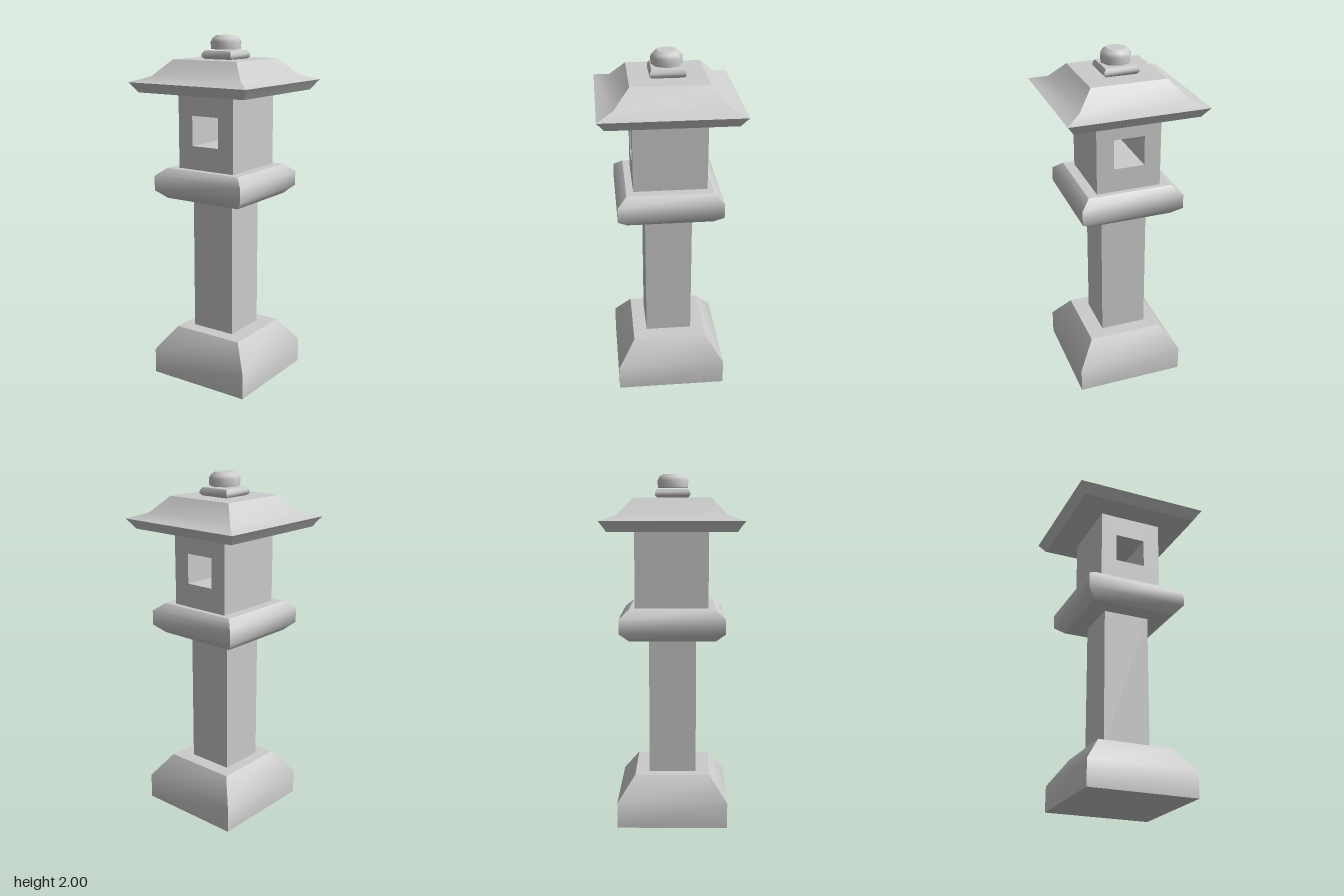
import * as THREE from 'three';

const stone = new THREE.MeshStandardMaterial({ color: 0xcccccc });
stone.name = 'grey stone';

// Square solid from [half width, y] rings, bottom to top. Each side is shaded
// smoothly up its profile; corners, caps and repeated rings stay sharp.
function squareLoft(rings) {
  const pos = [], idx = [];
  const signs = [[-1, 1], [1, 1], [1, -1], [-1, -1]];
  const corner = (k, [r, y]) => pos.push(signs[k % 4][0] * r, y, signs[k % 4][1] * r);
  for (let k = 0; k < 4; k++) {
    rings.forEach((ring, i) => {
      const a = pos.length / 3;
      corner(k, ring);
      corner(k + 1, ring);
      const next = rings[i + 1];
      if (next && (next[0] !== ring[0] || next[1] !== ring[1])) {
        idx.push(a, a + 1, a + 3, a, a + 3, a + 2);
      }
    });
  }
  const bottom = pos.length / 3;
  for (let k = 0; k < 4; k++) corner(k, rings[0]);
  idx.push(bottom, bottom + 2, bottom + 1, bottom, bottom + 3, bottom + 2);
  const top = pos.length / 3;
  for (let k = 0; k < 4; k++) corner(k, rings[rings.length - 1]);
  idx.push(top, top + 1, top + 2, top, top + 2, top + 3);
  const g = new THREE.BufferGeometry();
  g.setAttribute('position', new THREE.Float32BufferAttribute(pos, 3));
  g.setIndex(idx);
  g.computeVertexNormals();
  return g;
}

export function createModel() {
  const lantern = new THREE.Group();
  lantern.name = 'stoneLantern';
  const add = (name, geometry) => {
    const mesh = new THREE.Mesh(geometry, stone);
    mesh.name = name;
    lantern.add(mesh);
    return mesh;
  };

  // Footing, slightly off centre
  add('base', squareLoft([[0.315, 0], [0.315, 0.147], [0.216, 0.285]])).position.x = 0.015;

  // Square pillar
  add('post', new THREE.BoxGeometry(0.27, 0.81, 0.27)).position.y = 0.68;

  // Chamfered slab under the light chamber
  add('platform', squareLoft([[0.242, 1.08], [0.295, 1.128], [0.295, 1.212], [0.242, 1.257]]));

  // Light chamber with a window running from front to back
  const wall = new THREE.Shape();
  wall.moveTo(-0.185, 1.25).lineTo(0.185, 1.25).lineTo(0.185, 1.695).lineTo(-0.185, 1.695).closePath();
  const opening = new THREE.Path();
  opening.moveTo(-0.09, 1.392).lineTo(-0.09, 1.563).lineTo(0.086, 1.563).lineTo(0.086, 1.392).closePath();
  wall.holes.push(opening);
  add('lightChamber', new THREE.ExtrudeGeometry(wall, { depth: 0.414, bevelEnabled: false }))
    .position.z = -0.212;

  // Roof, with a sharp eave edge where the ring repeats
  add('roof', squareLoft([
    [0.35, 1.69], [0.375, 1.727], [0.39, 1.747],
    [0.39, 1.747], [0.3, 1.777], [0.212, 1.87],
  ]));

  // Finial: square collar and eight-sided knob
  add('finialCollar', squareLoft([
    [0.084, 1.868], [0.098, 1.882], [0.098, 1.898], [0.087, 1.916],
  ]));
  const profile = [[0.085, 1.924], [0.088, 1.965], [0.076, 1.985], [0.055, 2]]
    .map(([r, y]) => new THREE.Vector2(r, y));
  add('finialKnob', new THREE.LatheGeometry(profile, 8));
  [['knobTop', 0.055, 2, -1], ['knobBottom', 0.085, 1.924, 1]].forEach(([name, r, y, s]) => {
    const cap = add(name, new THREE.CircleGeometry(r, 8));
    cap.rotation.x = s * Math.PI / 2;
    cap.position.y = y;
  });

  return lantern;
}
